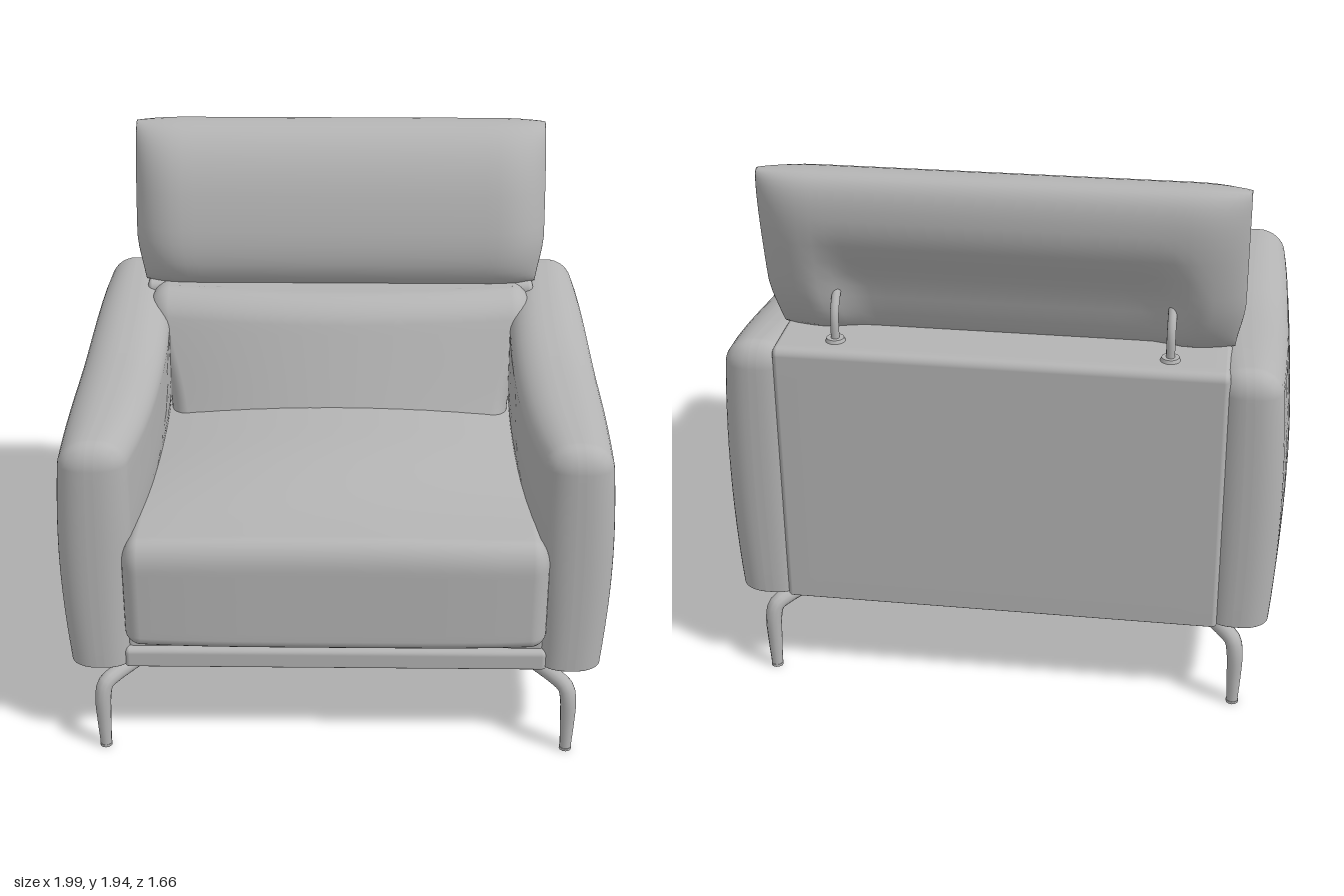
import * as THREE from 'three';
import { mergeVertices } from 'three/addons/utils/BufferGeometryUtils.js';

const { smoothstep } = THREE.MathUtils;

// Moves every vertex by a rule and gives the surface smooth normals
function reshape(geometry, rule) {
  geometry.deleteAttribute('uv');
  geometry.deleteAttribute('normal');
  const p = geometry.attributes.position;
  const v = new THREE.Vector3();
  for (let i = 0; i < p.count; i++) {
    v.fromBufferAttribute(p, i);
    rule(v);
    p.setXYZ(i, v.x, v.y, v.z);
  }
  const merged = mergeVertices(geometry, 1e-5);
  merged.computeVertexNormals();
  return merged;
}

// Upholstered box between two corners, with its own edge radius for each axis
function softBox(min, max, radius, lowRadius, rule = () => {}) {
  const flat = 0.6;
  const n = new THREE.Vector3();
  return reshape(new THREE.BoxGeometry(2, 2, 2, 20, 20, 20), (v) => {
    const c = v.toArray();
    n.fromArray(c.map((t) => Math.sign(t) * Math.tan(Math.max(0, (Math.abs(t) - flat) / (1 - flat)) * Math.PI / 4)));
    n.normalize();
    const out = c.map((t, k) => {
      const r = k === 1 && t < 0 ? lowRadius : radius[k];
      const half = (max[k] - min[k]) / 2;
      const inner = THREE.MathUtils.clamp(t / flat, -1, 1) * (half - r);
      return (min[k] + max[k]) / 2 + inner + r * n.getComponent(k);
    });
    v.fromArray(out);
    rule(v);
  });
}

// Round rod that tapers along a path
function taperedRod(points, radiusAt) {
  const curve = new THREE.CatmullRomCurve3(points, false, 'centripetal');
  const steps = 28, sides = 12;
  const tube = new THREE.TubeGeometry(curve, steps, 1, sides);
  const p = tube.attributes.position;
  const v = new THREE.Vector3();
  for (let i = 0; i < p.count; i++) {
    const t = Math.floor(i / (sides + 1)) / steps;
    const c = curve.getPointAt(t);
    v.fromBufferAttribute(p, i).sub(c).multiplyScalar(radiusAt(t)).add(c);
    p.setXYZ(i, v.x, v.y, v.z);
  }
  return tube;
}

export function createModel() {
  const model = new THREE.Group();
  model.name = 'armchair';
  const grey = new THREE.MeshStandardMaterial({ color: 0xb4b4b4 });
  grey.name = 'plain grey';
  const add = (name, geometry, x = 0, y = 0, z = 0) => {
    const mesh = new THREE.Mesh(geometry, grey);
    mesh.name = name;
    mesh.position.set(x, y, z);
    model.add(mesh);
    return mesh;
  };

  // Base frame with a front rail in two steps
  add('baseFrame', softBox([-0.76, 0.33, -0.8], [0.76, 0.41, 0.76], [0.02, 0.02, 0.025], 0.01));
  add('upperRail', softBox([-0.75, 0.4, -0.8], [0.75, 0.5, 0.735], [0.02, 0.02, 0.02], 0.01));

  // Back shell
  add('backPanel', softBox([-0.775, 0.33, -0.83], [0.775, 1.33, -0.5], [0.02, 0.03, 0.03], 0.01));

  // Seat cushion, crowned towards the middle and the back
  add('seatCushion', softBox([-0.75, 0.44, -0.45], [0.75, 0.86, 0.83], [0.06, 0.1, 0.07], 0.05, (v) => {
    const across = 1 - (v.x / 0.75) ** 2;
    const up = smoothstep(v.y, 0.55, 0.86);
    v.y += up * across * (0.02 + 0.06 * smoothstep(-v.z, -0.75, -0.1));
    v.z -= 0.02 * smoothstep(v.z, 0.6, 0.83) * (v.x / 0.75) ** 4;
  }));

  // Back cushion, leaning backwards and fullest in the middle
  add('backCushion', softBox([-0.76, 0.7, -0.6], [0.76, 1.33, -0.14], [0.08, 0.09, 0.09], 0.08, (v) => {
    const front = smoothstep(v.z, -0.5, -0.2);
    v.z -= front * (0.38 * (v.y - 0.9) + 0.08 * (v.x / 0.72) ** 2);
    v.x *= 0.88 + 0.12 * smoothstep(v.y, 0.85, 1.3);
  }));

  // Padded arms, rising towards the back
  for (const s of [1, -1]) {
    const arm = softBox([-0.1, 0.33, -0.83], [0.1, 1.24, 0.78], [0.085, 0.09, 0.07], 0.015, (v) => {
      const side = s * v.x / 0.1;
      const h = (v.y - 0.33) / 0.91;
      const along = 1 - Math.abs(v.z / 0.82) ** 2.6;
      const belly = Math.sin(Math.PI * Math.min(1, 0.12 + 0.8 * h));
      const outer = 0.935 + 0.03 * belly + 0.032 * along * (0.4 + 0.6 * belly);
      const inner = 0.735 - 0.07 * along * smoothstep(h, 0.1, 0.7);
      v.x = s * ((outer + inner) / 2 + side * (outer - inner) / 2);
      const rise = -0.025 * v.z + 0.075 * smoothstep(-v.z, -0.1, 0.8);
      v.y += rise * smoothstep(h, 0.05, 0.9);
    });
    add(s > 0 ? 'leftArm' : 'rightArm', arm);
  }

  // Headrest: a leaning pillow with pinched ends and a hollow lower back
  const pillow = new THREE.CylinderGeometry(1, 1, 2, 40, 36).rotateZ(Math.PI / 2);
  add('headrest', reshape(pillow, (v) => {
    const onRim = Math.hypot(v.y, v.z);
    const square = (t) => Math.sign(t) * Math.abs(t) ** 0.82;
    const x = 0.81 * Math.sin(v.x * Math.PI / 2);
    const end = Math.max(0, (Math.abs(x) - 0.62) / 0.19);
    const thick = Math.sqrt(Math.max(0, 1 - 0.85 * end * end));
    const y = square(v.y) * 0.315 * (1 - 0.025 * end * end);
    let z = square(v.z) * (v.z > 0 ? 0.185 : 0.13) * thick;
    const hollow = smoothstep(-y, -0.12, 0.12) * (1 - smoothstep(Math.abs(x), 0.5, 0.66));
    if (z < 0 && onRim > 0.5) z *= 1 - 0.6 * hollow;
    v.set(x * (1 - 0.035 * smoothstep(-y, 0.1, 0.31)), 1.628 + y, -0.645 - 0.23 * y + z);
  }));

  // Headrest posts with round collars
  for (const s of [1, -1]) {
    const post = [[1.32, -0.735], [1.41, -0.735], [1.45, -0.72], [1.53, -0.65]]
      .map(([y, z]) => new THREE.Vector3(0, y, z));
    add('headrestPost', taperedRod(post, () => 0.015), s * 0.57);
    add('postCollar', new THREE.CylinderGeometry(0.03, 0.035, 0.014, 20), s * 0.57, 1.335, -0.735);
  }

  // Bent legs splayed towards the corners
  for (const sx of [1, -1]) {
    for (const [name, sz, offset] of [['frontLeg', 1, 0], ['rearLeg', -1, 0.03]]) {
      const path = [
        [0.64, 0.322, 0.575], [0.72, 0.302, 0.65], [0.8, 0.281, 0.725], [0.832, 0.262, 0.755],
        [0.842, 0.22, 0.766], [0.844, 0.1, 0.767], [0.843, 0, 0.766],
      ].map(([x, y, z]) => new THREE.Vector3(sx * x, y, sz * (z + offset)));
      add(name, taperedRod(path, (t) => 0.021 + 0.009 * Math.sin(Math.PI * Math.min(1, t * 1.05))));
      const foot = path[path.length - 1];
      add(name + 'Tip', new THREE.CylinderGeometry(0.0225, 0.0225, 0.01, 12), foot.x, 0.005, foot.z);
    }
  }
  return model;
}
